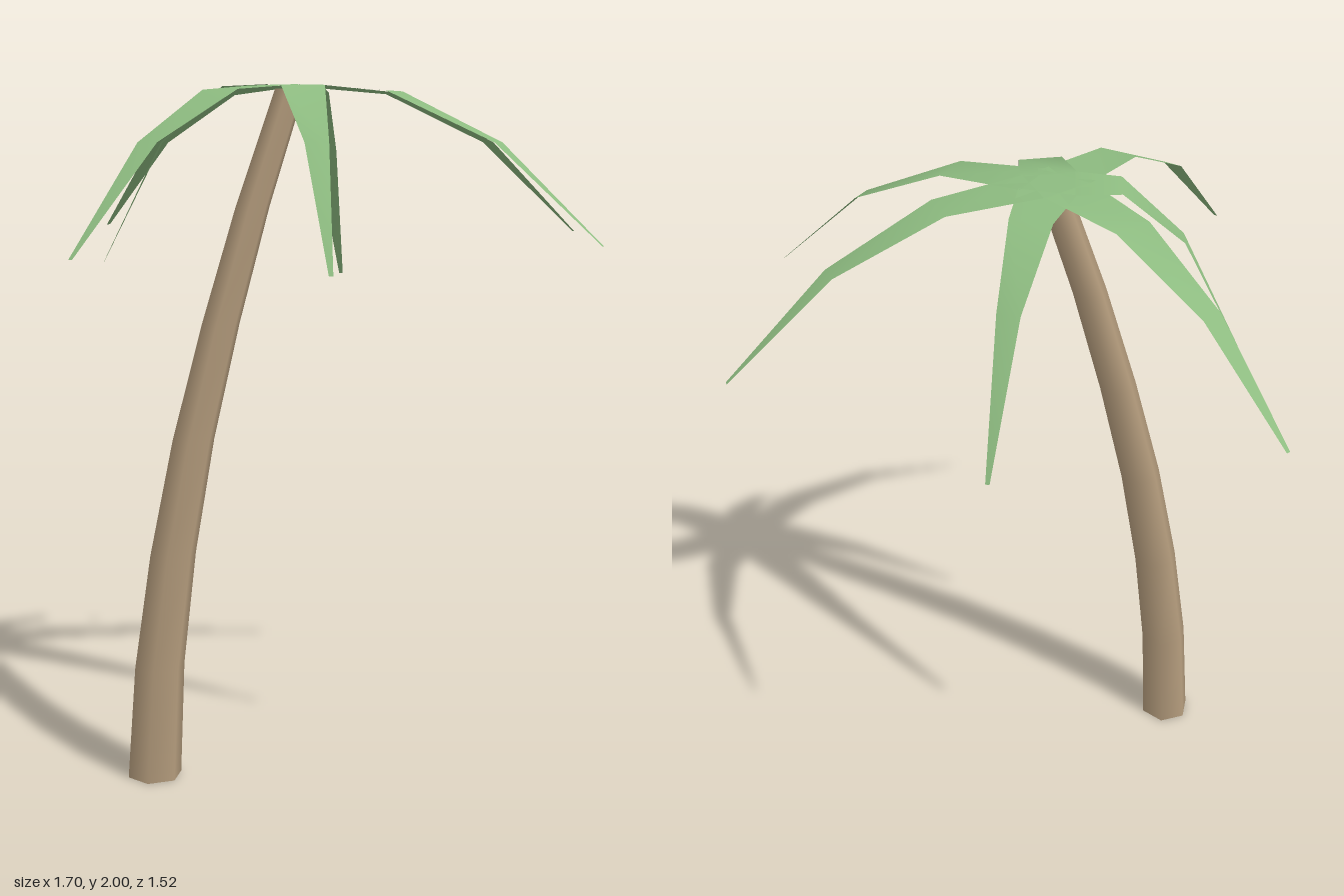
import * as THREE from 'three';

const bark = new THREE.MeshStandardMaterial({ color: 0xb39b7c });
bark.name = 'bark brown';
const leaf = new THREE.MeshStandardMaterial({ color: 0x8dbb80, side: THREE.DoubleSide });
leaf.name = 'palm green';

const CROWN = { x: -0.095, z: 0.085 };

// Six-sided tapering trunk, its rings shifted sideways along a curve
function makeTrunk() {
  const centres = [-0.52, -0.5, -0.455, -0.39, -0.305, -0.207, -0.093];
  const steps = centres.length - 1, height = 1.99;
  const geo = new THREE.CylinderGeometry(0.045, 0.08, height, 6, steps, false, Math.PI / 2);
  geo.translate(0, height / 2, 0);
  const pos = geo.attributes.position, nor = geo.attributes.normal;
  const n = new THREE.Vector3();
  for (let i = 0; i < pos.count; i++) {
    const k = Math.round((pos.getY(i) / height) * steps);
    const lo = Math.max(k - 1, 0), hi = Math.min(k + 1, steps);
    const slope = (centres[hi] - centres[lo]) / ((hi - lo) * height / steps);
    pos.setXYZ(i, pos.getX(i) + centres[k], pos.getY(i), pos.getZ(i) + CROWN.z);
    // tilt the normals with the lean of the trunk
    n.fromBufferAttribute(nor, i);
    n.y -= n.x * slope;
    n.normalize();
    nor.setXYZ(i, n.x, n.y, n.z);
  }
  const mesh = new THREE.Mesh(geo, bark);
  mesh.name = 'trunk';
  return mesh;
}

// Flat tapering leaf that droops in three straight sections
function makeFrond([tipX, tipY, tipZ, bend1, bend2]) {
  const dx = tipX - CROWN.x, dz = tipZ - CROWN.z;
  const length = Math.hypot(dx, dz), start = 0.06 / length;
  const sx = -dz / length, sz = dx / length;
  const sections = [[start, 2], [0.35, bend1], [0.68, bend2], [1, tipY]];
  const points = [], index = [];
  sections.forEach(([t, y], i) => {
    const half = THREE.MathUtils.lerp(0.082, 0.006, (t - start) / (1 - start));
    const x = CROWN.x + dx * t, z = CROWN.z + dz * t;
    points.push(x - sx * half, y, z - sz * half, x + sx * half, y, z + sz * half);
    if (i < sections.length - 1) {
      const a = i * 2;
      index.push(a, a + 1, a + 2, a + 1, a + 3, a + 2);
    }
  });
  const geo = new THREE.BufferGeometry();
  geo.setAttribute('position', new THREE.Float32BufferAttribute(points, 3));
  geo.setIndex(index);
  geo.computeVertexNormals();
  const mesh = new THREE.Mesh(geo, leaf);
  mesh.name = 'frond';
  return mesh;
}

export function createModel() {
  const palm = new THREE.Group();
  palm.name = 'palmTree';
  palm.add(makeTrunk());

  const crown = new THREE.Group();
  crown.name = 'crown';
  // tip x, y, z, then the heights of the two bends
  const fronds = [
    [0.85, 1.57, 0.045, 1.98, 1.84],
    [0.545, 1.57, 0.755, 1.98, 1.84],
    [-0.85, 1.56, 0.635, 1.98, 1.84],
    [-0.43, 1.575, -0.76, 1.98, 1.84],
    [0.265, 1.42, -0.435, 1.985, 1.815],
    [-0.6, 1.5, -0.095, 1.995, 1.84],
    [-0.17, 1.5, 0.62, 1.995, 1.84],
  ];
  for (const f of fronds) crown.add(makeFrond(f));

  // Small plate closing the middle of the leaves
  const heart = new THREE.Mesh(new THREE.CircleGeometry(0.085, 7).rotateX(-Math.PI / 2), leaf);
  heart.position.set(CROWN.x, 1.996, CROWN.z);
  heart.name = 'crownCentre';
  crown.add(heart);
  palm.add(crown);
  return palm;
}
